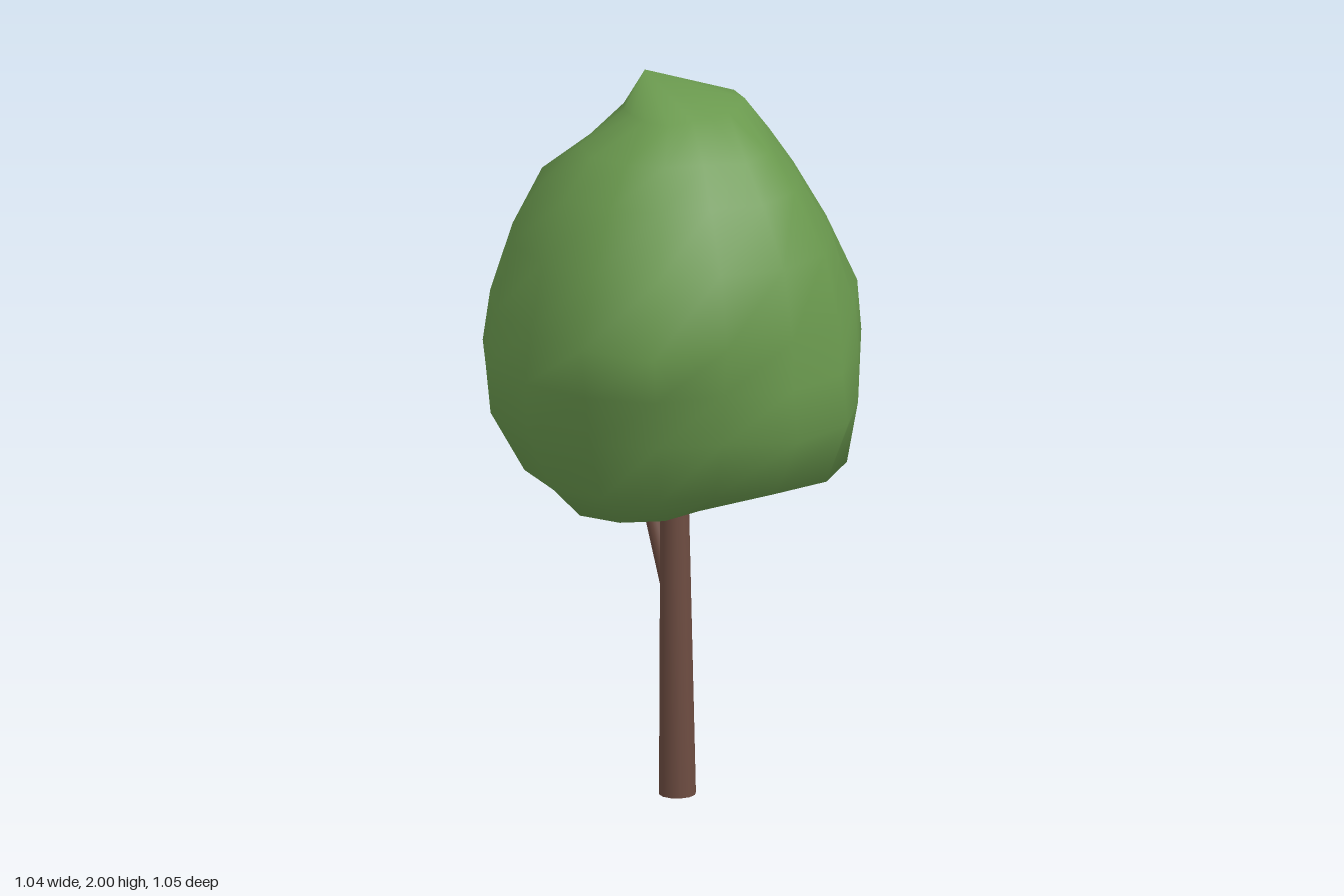
import * as THREE from 'three';

const SIDES = 16;

// Tapered round limb between two points
function limb(name, from, to, r0, r1, material) {
  const a = new THREE.Vector3(...from), b = new THREE.Vector3(...to);
  const dir = b.clone().sub(a);
  const mesh = new THREE.Mesh(new THREE.CylinderGeometry(r1, r0, dir.length(), 12), material);
  mesh.position.copy(a).addScaledVector(dir, 0.5);
  mesh.quaternion.setFromUnitVectors(new THREE.Vector3(0, 1, 0), dir.normalize());
  mesh.name = name;
  return mesh;
}

// Fullness of the crown midway between the eight main directions
const fullness = [1.02, 1.03, 0.91, 1, 1.02, 0.94, 0.9, 0.97];

// Reach of a ring at side i: given at every other side, curved in between
function reachAt(reach, i) {
  const at = (k) => reach[(k + 8) % 8];
  const k = Math.floor(i / 2);
  if (i % 2 === 0) return at(k);
  return fullness[k] * (9 * (at(k) + at(k + 1)) - at(k - 1) - at(k + 2)) / 16;
}

// Crown: lopsided rings, closed by a low point and an off-centre peak
function crownGeometry() {
  // height, then reach in eight directions from +x towards +z
  const rings = [
    [0.86, 0.28, 0.27, 0.22, 0.28, 0.33, 0.24, 0.15, 0.24],
    [0.94, 0.39, 0.46, 0.42, 0.40, 0.43, 0.39, 0.35, 0.44],
    [1.11, 0.50, 0.49, 0.52, 0.46, 0.51, 0.49, 0.43, 0.47],
    [1.25, 0.52, 0.49, 0.50, 0.50, 0.52, 0.52, 0.53, 0.48],
    [1.39, 0.51, 0.48, 0.50, 0.56, 0.50, 0.50, 0.48, 0.48],
    [1.58, 0.41, 0.42, 0.46, 0.47, 0.46, 0.44, 0.42, 0.44],
    [1.74, 0.32, 0.33, 0.37, 0.36, 0.38, 0.36, 0.37, 0.35],
    [1.84, 0.26, 0.25, 0.30, 0.27, 0.29, 0.23, 0.19, 0.22],
    [1.93, 0.20, 0.17, 0.15, 0.19, 0.15, 0.14, 0.15, 0.17],
  ];
  const points = [], index = [];
  rings.forEach(([y, ...reach], r) => {
    for (let i = 0; i < SIDES; i++) {
      const a = (i / SIDES) * Math.PI * 2;
      const d = reachAt(reach, i);
      const x = d * Math.cos(a);
      points.push(x, r === 0 ? y + 0.06 * x : y, d * Math.sin(a));
    }
  });
  const bottom = rings.length * SIDES, peak = bottom + 1;
  points.push(-0.12, 0.83, 0.02, -0.01, 2, -0.12);
  const last = (rings.length - 1) * SIDES;
  for (let i = 0; i < SIDES; i++) {
    const j = (i + 1) % SIDES;
    index.push(i, j, bottom, last + i, peak, last + j);
    for (let k = 0; k < last; k += SIDES) {
      const up = k + SIDES;
      index.push(k + i, up + i, k + j, k + j, up + i, up + j);
    }
  }
  const geometry = new THREE.BufferGeometry();
  geometry.setAttribute('position', new THREE.Float32BufferAttribute(points, 3));
  geometry.setIndex(index);
  geometry.computeVertexNormals();
  return geometry;
}

export function createModel() {
  const bark = new THREE.MeshStandardMaterial({ color: 0x6d4c41 });
  const leaves = new THREE.MeshStandardMaterial({ color: 0x6a994e });
  const tree = new THREE.Group();
  tree.name = 'tree';

  // Trunk and side branch, both running up into the crown
  tree.add(limb('trunk', [-0.015, 0, 0.025], [-0.012, 0.95, 0.007], 0.05, 0.037, bark));
  tree.add(limb('branch', [-0.012, 0.55, 0.003], [-0.008, 0.98, -0.172], 0.028, 0.022, bark));

  const crown = new THREE.Mesh(crownGeometry(), leaves);
  crown.name = 'crown';
  tree.add(crown);
  return tree;
}
